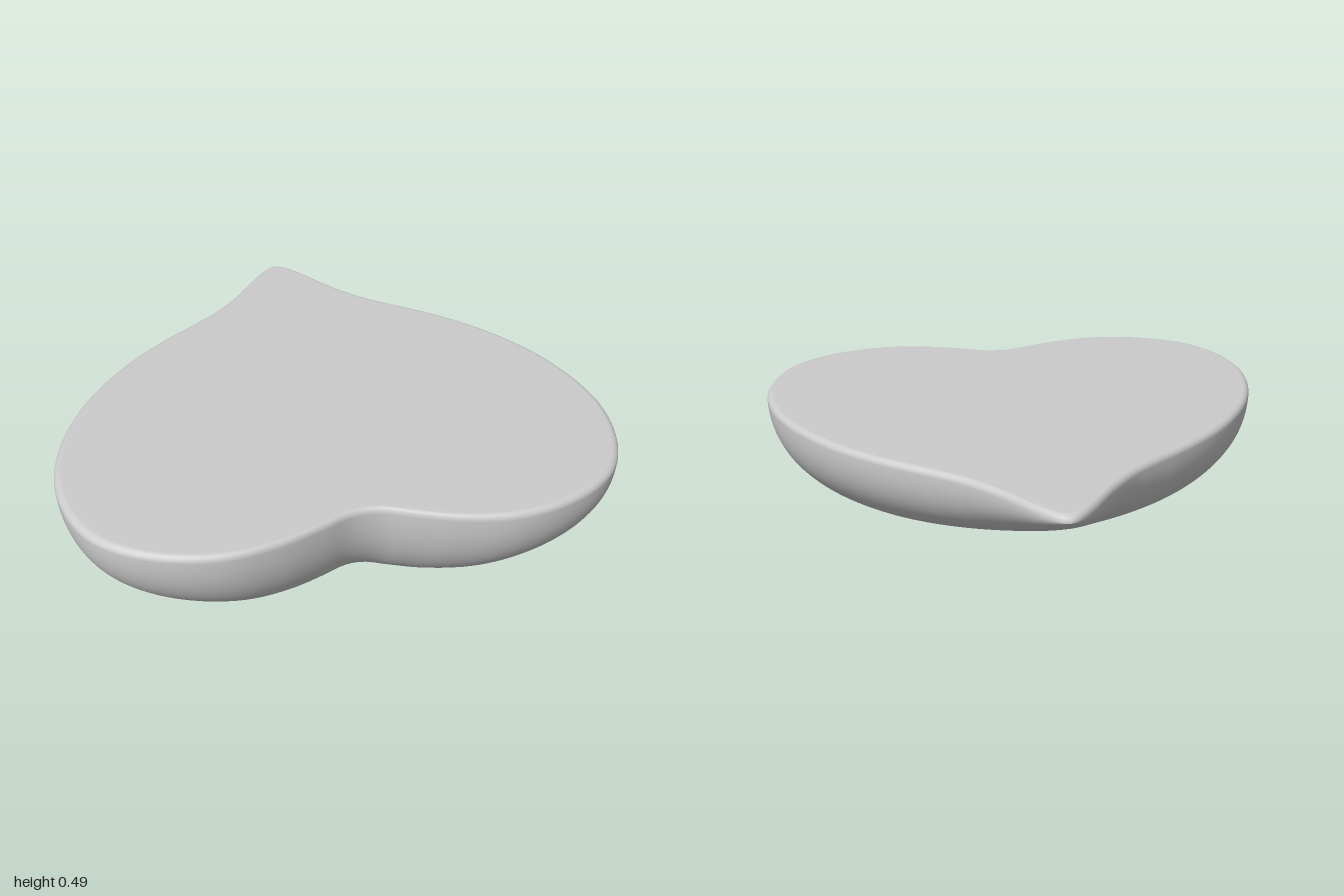
import * as THREE from 'three';
import { mergeVertices } from 'three/addons/utils/BufferGeometryUtils.js';

const TOP = 0.49; // flat face height
const RIM = 0.465; // where the belly meets the rounded lip
const ZC = 0.22; // deepest point of the belly
const SEG = 240;
const RINGS = 36;

// Right half of the heart outline (x, z), from the pointed tip to the cleft
const HALF = [
  [0, -0.922], [0.04, -0.9], [0.1, -0.835], [0.2, -0.7], [0.3, -0.59], [0.4, -0.508],
  [0.5, -0.435], [0.6, -0.355], [0.7, -0.26], [0.8, -0.14], [0.9, 0.02], [0.97, 0.2],
  [1, 0.4], [0.97, 0.59], [0.9, 0.73], [0.8, 0.82], [0.65, 0.888], [0.48, 0.915],
  [0.3, 0.888], [0.15, 0.835], [0.06, 0.798], [0, 0.79],
];

function heartOutline() {
  const left = HALF.slice(1, -1).reverse().map(([x, z]) => [-x, z]);
  const pts = [...HALF, ...left].map(([x, z]) => new THREE.Vector3(x, 0, z));
  return new THREE.CatmullRomCurve3(pts, true, 'centripetal').getSpacedPoints(SEG).slice(0, SEG);
}

// Half width of the outline at a given z, behind the deepest point
function halfWidth(outline, z) {
  for (let i = 0; i < SEG / 2; i++) {
    const a = outline[i], b = outline[i + 1];
    if (z <= b.z) return THREE.MathUtils.mapLinear(Math.max(z, a.z), a.z, b.z, a.x, b.x);
  }
  return 1;
}

// Rounded falloff from 1 at the middle to 0 at the rim
const bulge = (r, p, q) => Math.pow(Math.max(0, 1 - Math.pow(Math.min(r, 1), p)), 1 / q);

// Belly depth: scaled outlines in front, tapering round sections behind
function depth(outline, x, z, s) {
  if (s >= 1) return 0;
  if (z >= ZC) return RIM * bulge(s, 2.5, 2.2);
  const keel = bulge((ZC - z) / (ZC - outline[0].z), 1.4, 1.08);
  const u = Math.abs(x) / Math.max(halfWidth(outline, z), 1e-4);
  return RIM * keel * bulge(u, 2.5, 2.2);
}

function heartGeometry() {
  const outline = heartOutline();
  const pos = [], index = [];
  const addRing = (s, height) => {
    for (const p of outline) {
      const x = p.x * s, z = ZC + (p.z - ZC) * s;
      pos.push(x, height(x, z, s), z);
    }
  };

  // Belly, from the lowest point out to the rim
  for (let j = 0; j <= RINGS; j++) {
    addRing(Math.sin((j / RINGS) * Math.PI / 2), (x, z, s) => RIM - depth(outline, x, z, s));
  }
  // Rounded lip, then the flat face to its centre
  for (let k = 1; k <= 5; k++) {
    const a = (k / 5) * Math.PI / 2;
    addRing(1 - 0.028 * (1 - Math.cos(a)), () => RIM + (TOP - RIM) * Math.sin(a));
  }
  for (const s of [0.92, 0.6, 0.3, 0]) addRing(s, () => TOP);

  const rows = pos.length / 3 / SEG;
  for (let j = 0; j < rows - 1; j++) {
    for (let i = 0; i < SEG; i++) {
      const n = (i + 1) % SEG;
      const a = j * SEG + i, b = j * SEG + n, c = a + SEG, d = b + SEG;
      if (j > 0) index.push(a, c, b);
      if (j < rows - 2) index.push(b, c, d);
      else if (j === 0) index.push(b, c, d);
    }
  }
  let geo = new THREE.BufferGeometry();
  geo.setAttribute('position', new THREE.Float32BufferAttribute(pos, 3));
  geo.setIndex(index);
  geo = mergeVertices(geo, 1e-5);
  geo.computeVertexNormals();
  return geo;
}

export function createModel() {
  const group = new THREE.Group();
  group.name = 'halfHeart';
  const body = new THREE.Mesh(heartGeometry(), new THREE.MeshStandardMaterial({ color: 0xcccccc }));
  body.name = 'heartBody';
  group.add(body);
  return group;
}
